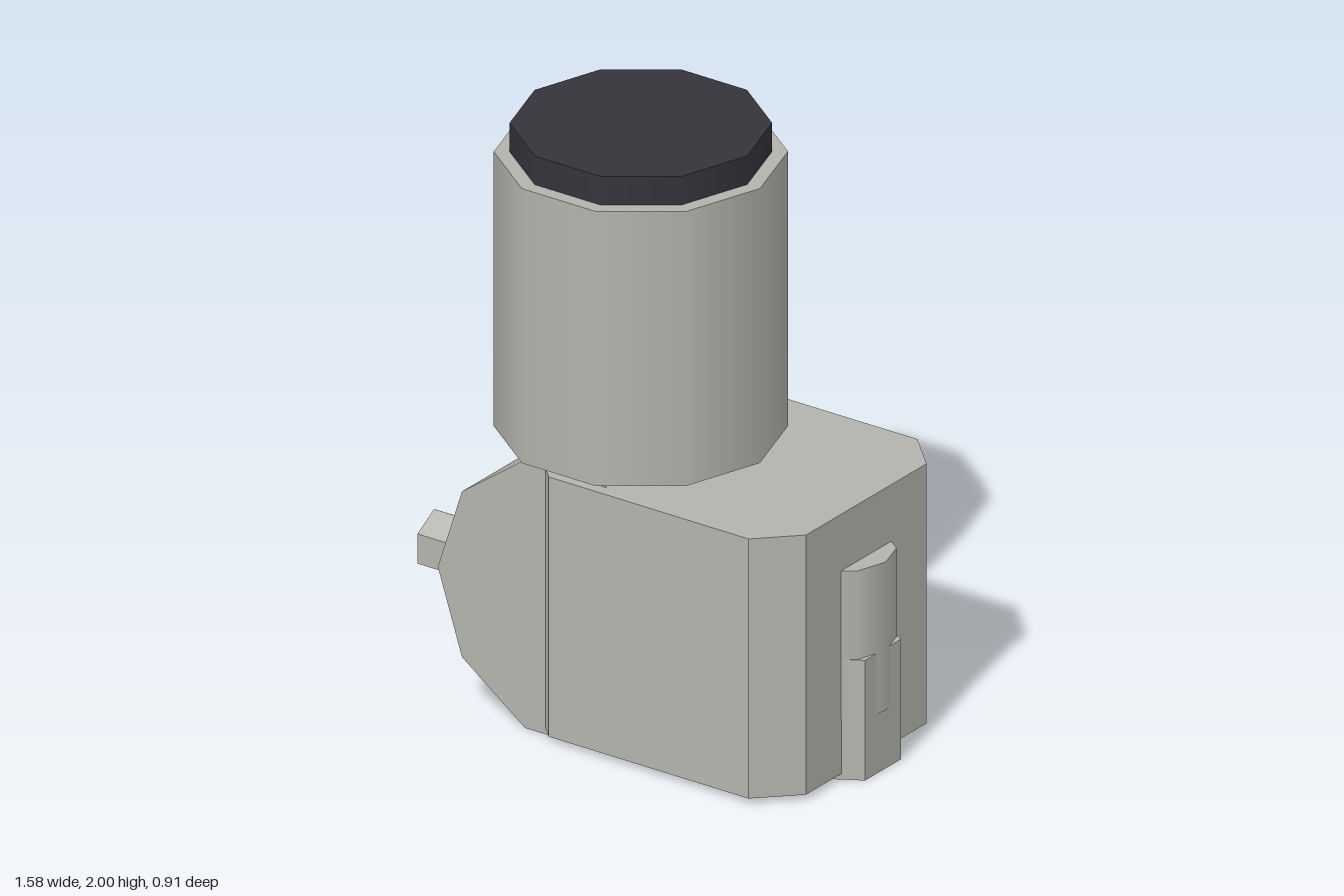
import * as THREE from 'three';

const grey = new THREE.MeshStandardMaterial({ color: 0xb4b4ae });
grey.name = 'light grey';
const dark = new THREE.MeshStandardMaterial({ color: 0x35343b });
dark.name = 'dark charcoal';

// Upright prism; a corner points to +x unless start is 0
function prism(radius, height, sides, start = Math.PI / 2) {
  return new THREE.CylinderGeometry(radius, radius, height, sides, 1, false, start);
}

function faceted(geometry) {
  const g = geometry.toNonIndexed();
  g.computeVertexNormals();
  return g;
}

export function createModel() {
  const model = new THREE.Group();
  const add = (name, geometry, material, x, y, z) => {
    const mesh = new THREE.Mesh(geometry, material);
    mesh.name = name;
    mesh.position.set(x, y, z);
    model.add(mesh);
  };

  // Housing block with chamfered upright corners
  const hx = 0.52, hz = 0.455, c = 0.13;
  const outline = new THREE.Shape([
    [hx, -hz + c], [hx, hz - c], [hx - c, hz], [-hx + c, hz],
    [-hx, hz - c], [-hx, -hz + c], [-hx + c, -hz], [hx - c, -hz],
  ].map(([x, z]) => new THREE.Vector2(x, z)));
  const block = new THREE.ExtrudeGeometry(outline, { depth: 0.908, bevelEnabled: false });
  block.rotateX(-Math.PI / 2);
  add('housing', block, grey, 0.19, 0.02, 0);

  // Horizontal drum running through the housing
  add('drum', prism(0.493, 0.826, 10).rotateX(Math.PI / 2), grey, -0.17, 0.469, 0);

  // Upright barrel and its dark cap
  add('barrel', prism(0.465, 0.96, 10), grey, -0.17, 1.42, 0);
  add('cap', prism(0.415, 0.1, 10), dark, -0.17, 1.95, 0);

  // Pair of hexagonal bolts on the drum
  for (const side of [-1, 1]) {
    add(side > 0 ? 'frontBolt' : 'backBolt',
      faceted(prism(0.104, 0.2, 6).rotateZ(Math.PI / 2)), grey, -0.69, 0.472, side * 0.258);
  }

  // Round pin and hexagonal foot half sunk in the end of the housing
  add('pin', prism(0.178, 0.52, 10), grey, 0.608, 0.47, 0);
  add('hexFoot', faceted(prism(0.194, 0.42, 6, 0)), grey, 0.607, 0.21, 0);

  return model;
}
